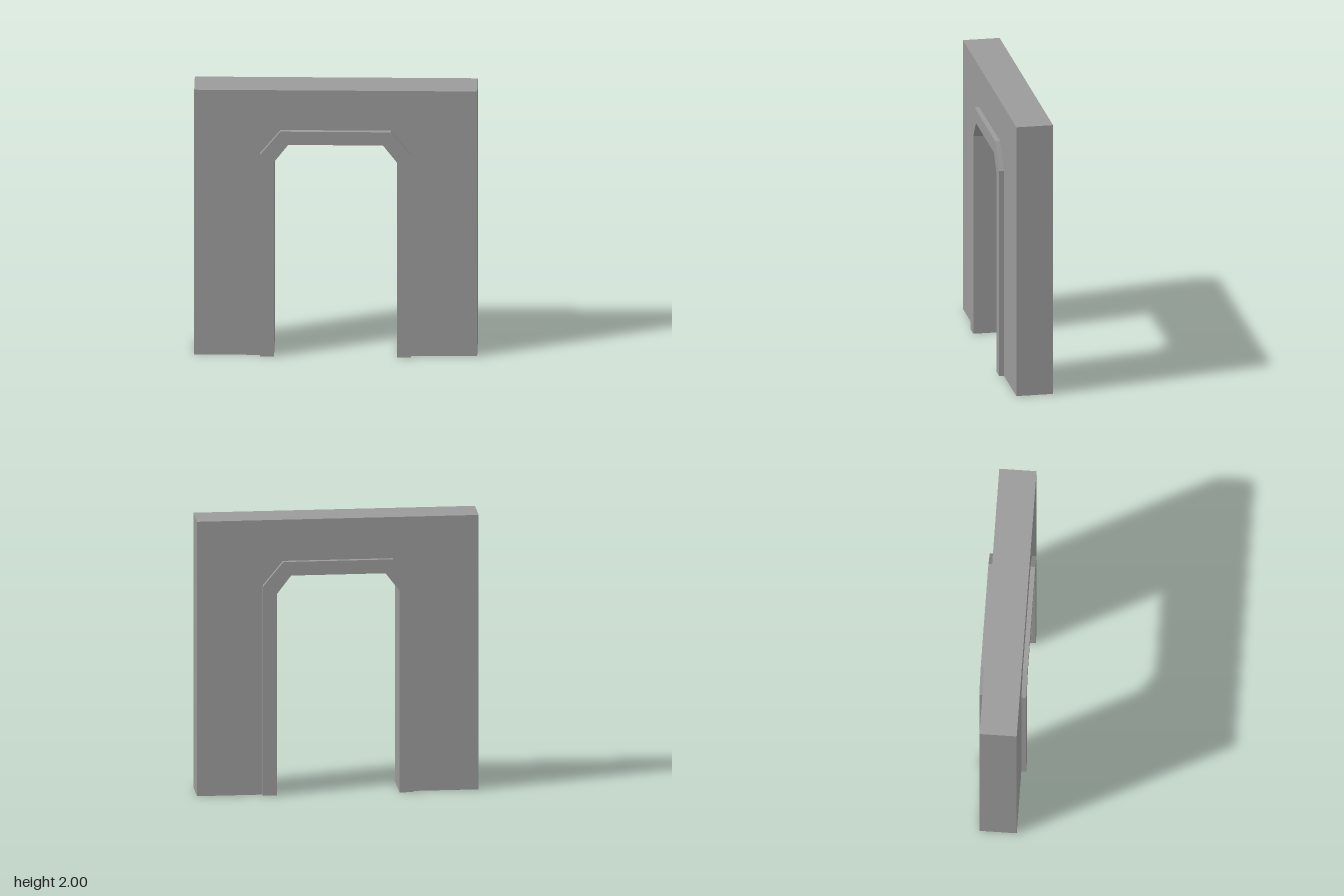
import * as THREE from 'three';

const material = new THREE.MeshStandardMaterial({ color: 0x9a9a9a, flatShading: true });

// Half outlines of the chamfered doorway, from the floor up (x, y)
const OUTER = [[0.534, 0], [0.534, 1.525], [0.39, 1.7]];
const INNER = [[0.435, 0], [0.435, 1.47], [0.335, 1.6]];

// Full outline: up the right side, across the top, down the left side
function archPath(half) {
  const mirrored = half.map(([x, y]) => [-x, y]).reverse();
  return [...half, ...mirrored];
}

// Solid between an outside outline and a doorway cut into its bottom edge
function archSolid(name, outside, doorway, depth) {
  const points = [...outside, ...doorway.slice().reverse()];
  const shape = new THREE.Shape(points.map(([x, y]) => new THREE.Vector2(x, y)));
  const geometry = new THREE.ExtrudeGeometry(shape, { depth, bevelEnabled: false });
  geometry.translate(0, 0, -depth / 2);
  const mesh = new THREE.Mesh(geometry, material);
  mesh.name = name;
  return mesh;
}

export function createModel() {
  const group = new THREE.Group();
  group.name = 'doorwayWall';

  // Wall slab around the door frame
  const slab = archPath([[1, 0], [1, 2]]);
  group.add(archSolid('wall', slab, archPath(OUTER), 0.264));

  // Frame lining the opening, standing proud of both wall faces
  group.add(archSolid('doorFrame', archPath(OUTER), archPath(INNER), 0.332));

  return group;
}
